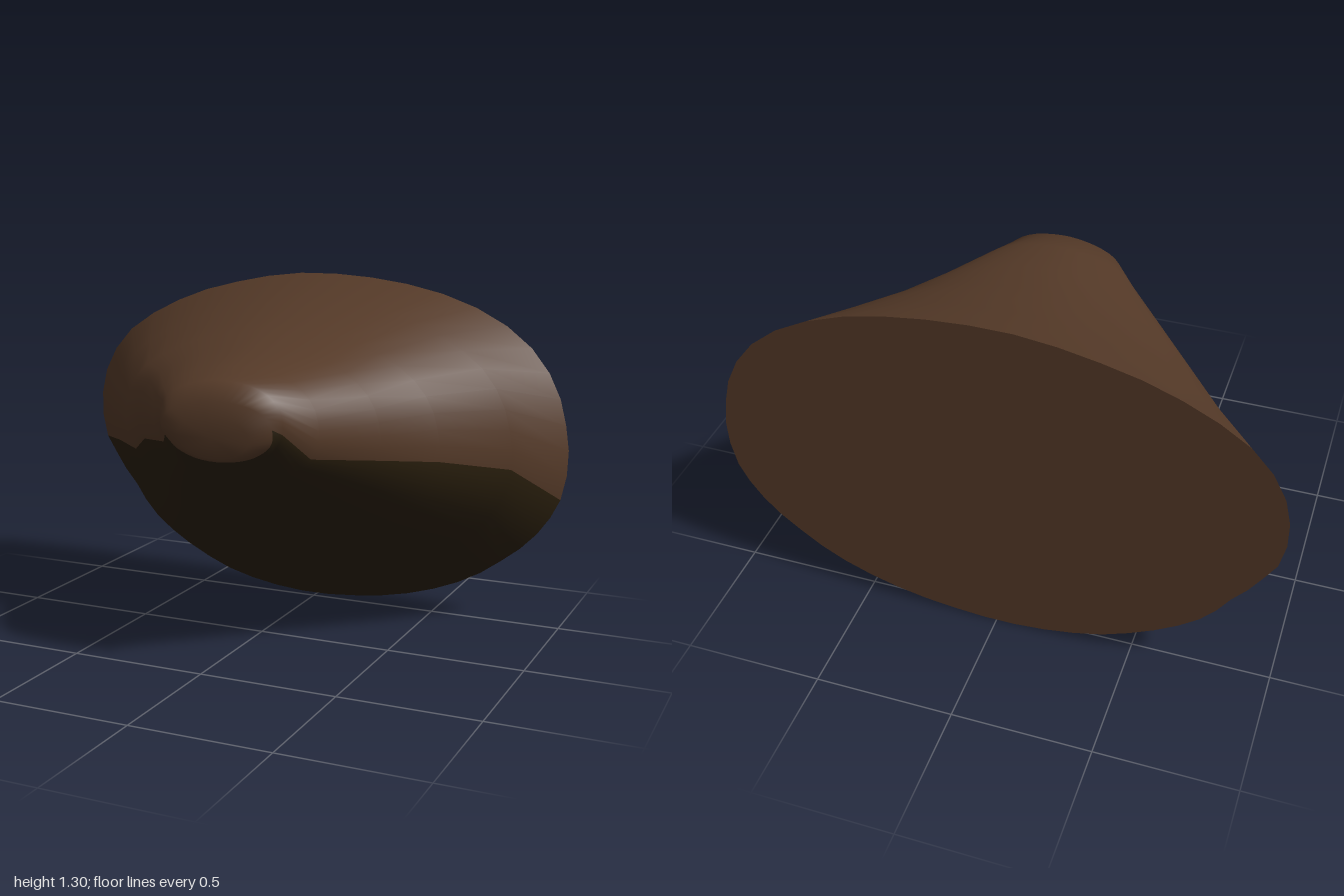
import * as THREE from 'three';

const brown = new THREE.MeshStandardMaterial({ color: 0x553a28 });
brown.name = 'brown';
const darkBrown = new THREE.MeshStandardMaterial({ color: 0x2b200e });
darkBrown.name = 'dark brown';

// Irregular oval of the wide end, counter-clockwise from the model's left
const rim = [
  [1, 0.63], [0.985, 0.78], [0.95, 0.9], [0.87, 1.03], [0.75, 1.13], [0.59, 1.21], [0.33, 1.275],
  [0.19, 1.292], [0, 1.3], [-0.14, 1.295], [-0.3, 1.265], [-0.46, 1.23], [-0.69, 1.14], [-0.83, 1.06],
  [-0.91, 0.98], [-0.98, 0.85], [-1, 0.72], [-0.98, 0.58], [-0.93, 0.5], [-0.84, 0.38], [-0.74, 0.25],
  [-0.54, 0.12], [-0.39, 0.055], [-0.24, 0.02], [-0.02, 0], [0.15, 0.01], [0.35, 0.04], [0.64, 0.145],
  [0.75, 0.22], [0.87, 0.32], [0.975, 0.48],
];

// Cross-sections: z, x min, x max, y min, y max, colour edge height at +x, at -x
const sections = [
  [-0.54, -1, 1, 0, 1.3, 0.49, 0.575],
  [-0.3, -0.8, 0.85, 0.165, 1.205, 0.64, 0.615],
  [-0.05, -0.6, 0.66, 0.335, 1.13, 0.7, 0.64],
  [0.15, -0.43, 0.515, 0.49, 1.09, 0.73, 0.73],
  [0.36, -0.25, 0.375, 0.645, 1.052, 0.76, 0.77],
  [0.485, -0.155, 0.3, 0.735, 1.025, 0.86, 0.835],
  [0.52, -0.13, 0.28, 0.757, 0.96, 0.88, 0.85],
  [0.537, -0.06, 0.2, 0.77, 0.905, 0.85, 0.84],
];
const TOP = 24, BOTTOM = 24, N = TOP + BOTTOM;

const TAU = Math.PI * 2;
const polar = rim.map(([x, y]) => {
  const v = y / 0.65 - 1;
  return [(Math.atan2(v, x) + TAU) % TAU, Math.hypot(x, v)];
}).sort((a, b) => a[0] - b[0]);

// Radius of the rim, as a share of its ellipse, at an angle
function rimRadius(angle) {
  const a = ((angle % TAU) + TAU) % TAU;
  const n = polar.length;
  let k = polar.findIndex((p) => p[0] > a);
  if (k < 0) k = n;
  const p = k === 0 ? [polar[n - 1][0] - TAU, polar[n - 1][1]] : polar[k - 1];
  const q = k === n ? [polar[0][0] + TAU, polar[0][1]] : polar[k];
  return THREE.MathUtils.lerp(p[1], q[1], (a - p[0]) / (q[0] - p[0]));
}

// One ring: upper columns first, then lower ones, meeting at the colour edge
function ring([z, x0, x1, y0, y1, edgeRight, edgeLeft]) {
  const cx = (x0 + x1) / 2, cy = (y0 + y1) / 2, hx = (x1 - x0) / 2, hy = (y1 - y0) / 2;
  const start = Math.asin((edgeRight - cy) / hy);
  const end = Math.PI - Math.asin((edgeLeft - cy) / hy);
  return Array.from({ length: N }, (_, i) => {
    const a = i < TOP
      ? THREE.MathUtils.lerp(start, end, i / TOP)
      : THREE.MathUtils.lerp(end, start + TAU, (i - TOP) / BOTTOM);
    const r = rimRadius(a);
    return [cx + hx * r * Math.cos(a), cy + hy * r * Math.sin(a), z];
  });
}

function makeGeometry(points, index) {
  const g = new THREE.BufferGeometry();
  g.setAttribute('position', new THREE.Float32BufferAttribute(points.flat(), 3));
  g.setIndex(index);
  g.computeVertexNormals();
  return g;
}

export function createModel() {
  const model = new THREE.Group();
  const rings = sections.map(ring);

  // Flared shell, brown above and dark below, with a brown blunt tip
  const upper = [], lower = [];
  const last = rings.length - 1;
  for (let s = 0; s < last; s++) {
    for (let i = 0; i < N; i++) {
      const j = (i + 1) % N;
      const a = s * N + i, b = s * N + j, c = b + N, d = a + N;
      const target = i < TOP || s === last - 1 ? upper : lower;
      target.push(a, b, c, a, c, d);
    }
  }
  const tip = rings.length * N;
  for (let i = 0; i < N; i++) upper.push(tip, last * N + i, last * N + ((i + 1) % N));
  const shell = makeGeometry([...rings.flat(), [0.07, 0.838, 0.54]], [...upper, ...lower]);
  shell.addGroup(0, upper.length, 0);
  shell.addGroup(upper.length, lower.length, 1);
  const shellMesh = new THREE.Mesh(shell, [brown, darkBrown]);
  shellMesh.name = 'flaredShell';
  model.add(shellMesh);

  // Flat back
  const fan = [];
  for (let i = 0; i < N; i++) fan.push(N, (i + 1) % N, i);
  const back = new THREE.Mesh(makeGeometry([...rings[0], [0, 0.65, -0.54]], fan), brown);
  back.name = 'backFace';
  model.add(back);
  return model;
}
